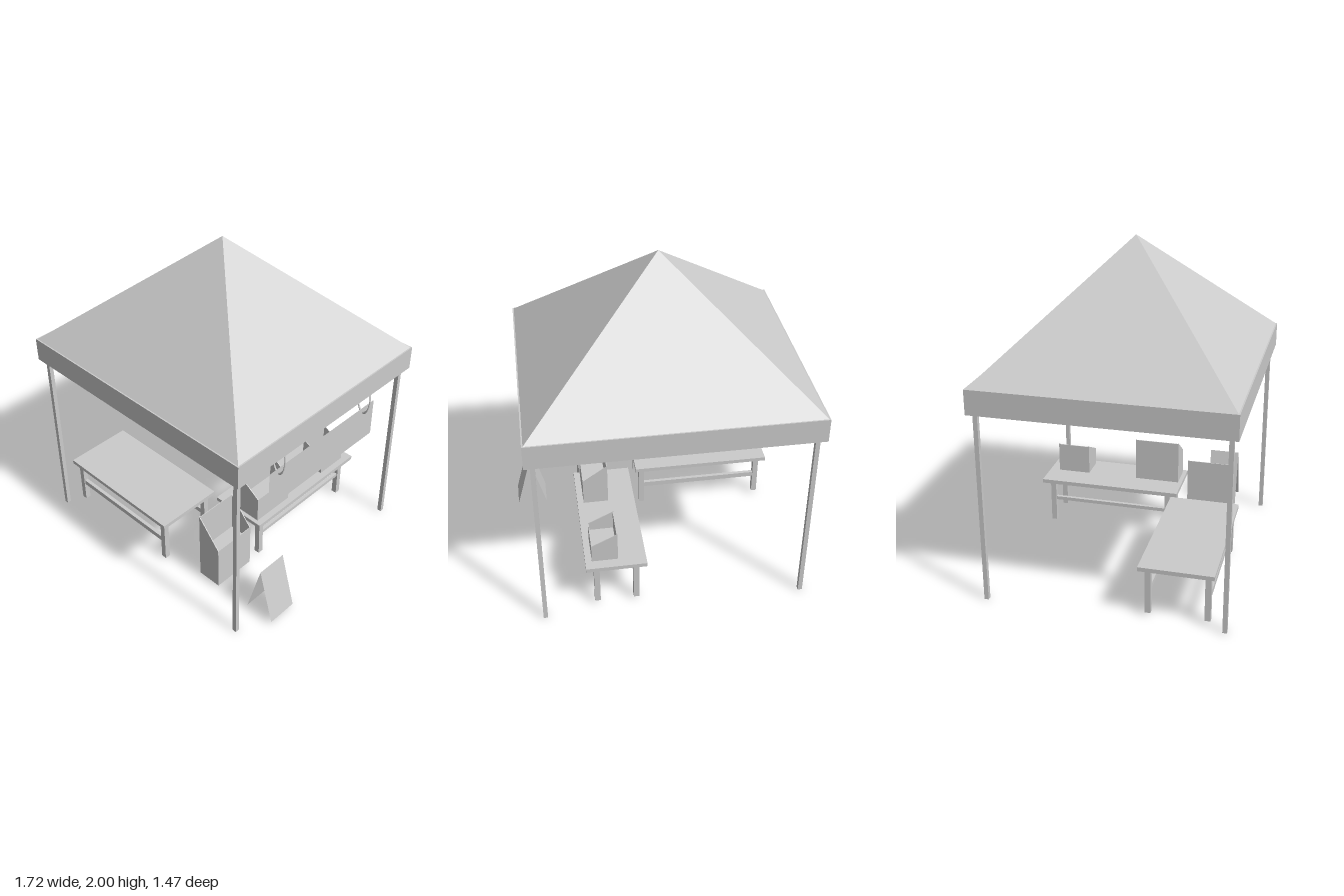
import * as THREE from 'three';

const mat = new THREE.MeshStandardMaterial({ color: 0xcccccc, flatShading: true, side: THREE.DoubleSide });

function add(parent, name, geometry, x = 0, y = 0, z = 0) {
  const mesh = new THREE.Mesh(geometry, mat);
  mesh.name = name;
  mesh.position.set(x, y, z);
  parent.add(mesh);
  return mesh;
}

// Box given by its lower and upper corners
function box(parent, name, [x0, y0, z0], [x1, y1, z1]) {
  return add(parent, name, new THREE.BoxGeometry(x1 - x0, y1 - y0, z1 - z0),
    (x0 + x1) / 2, (y0 + y1) / 2, (z0 + z1) / 2);
}

function group(parent, name) {
  const g = new THREE.Group();
  g.name = name;
  parent.add(g);
  return g;
}

const CX = -0.037, HX = 0.823, HZ = 0.735;   // canopy centre and half sizes
const PX = 0.776, PZ = 0.694;                // post offsets from the canopy centre

function buildCanopy(root) {
  const canopy = group(root, 'canopy');

  // Pyramid roof
  const roof = new THREE.ConeGeometry(Math.SQRT2, 0.7, 4, 1, true);
  roof.rotateY(Math.PI / 4);
  roof.scale(HX - 0.008, 1, HZ - 0.008);
  add(canopy, 'roof', roof, CX, 1.65, 0);

  // Valance: a thin rectangular band
  const rect = (s, hx, hz) => s.moveTo(-hx, -hz).lineTo(hx, -hz).lineTo(hx, hz).lineTo(-hx, hz).closePath();
  const band = rect(new THREE.Shape(), HX, HZ);
  band.holes.push(rect(new THREE.Path(), HX - 0.01, HZ - 0.01));
  const valance = new THREE.ExtrudeGeometry(band, { depth: 0.145, bevelEnabled: false });
  valance.rotateX(-Math.PI / 2);
  add(canopy, 'valance', valance, CX, 1.155, 0);

  // Posts, perimeter beams, cross beams and centre mast
  const w = 0.013;
  for (const s of [-1, 1]) {
    for (const t of [-1, 1]) {
      const x = CX + s * PX, z = t * PZ;
      box(canopy, 'post', [x - w, 0, z - w], [x + w, 1.29, z + w]);
    }
    const bx = CX + s * PX, bz = s * PZ;
    box(canopy, 'sideBeam', [bx - w, 1.16, -PZ], [bx + w, 1.186, PZ]);
    box(canopy, 'endBeam', [CX - PX, 1.16, bz - w], [CX + PX, 1.186, bz + w]);
  }
  box(canopy, 'crossBeam', [CX - PX, 1.16, -w], [CX + PX, 1.186, w]);
  box(canopy, 'crossBeam', [CX - w, 1.16, -PZ], [CX + w, 1.186, PZ]);
  box(canopy, 'mast', [CX - w, 1.16, -w], [CX + w, 1.97, w]);
}

// Table with four legs and a rail along each long side
function buildTable(root, name, [x0, x1], [z0, z1], legX, legZ, [r0, r1], alongX) {
  const table = group(root, name);
  const h = 0.017;
  box(table, 'tableTop', [x0, 0.3, z0], [x1, 0.325, z1]);
  for (const x of legX) for (const z of legZ) {
    box(table, 'leg', [x - h, 0.018, z - h], [x + h, 0.3, z + h]);
  }
  const t = 0.011;
  if (alongX) for (const z of legZ) box(table, 'rail', [legX[0], r0, z - t], [legX[1], r1, z + t]);
  else for (const x of legX) box(table, 'rail', [x - t, r0, legZ[0]], [x + t, r1, legZ[1]]);
}

// Open display bin with a sloping rim: high at the back, low at the front
function buildBin(root, name, [z0, z1], base, frontY, backY, floorY) {
  const bin = group(root, name);
  const x0 = 0.29, x1 = 0.445, t = 0.005;
  const side = new THREE.Shape([
    new THREE.Vector2(x0, base), new THREE.Vector2(x1, base),
    new THREE.Vector2(x1, frontY), new THREE.Vector2(x0, backY),
  ]);
  const sideGeo = new THREE.ExtrudeGeometry(side, { depth: t, bevelEnabled: false });
  add(bin, 'binSide', sideGeo, 0, 0, z0);
  add(bin, 'binSide', sideGeo, 0, 0, z1 - t);
  box(bin, 'binBack', [x0, base, z0 + t], [x0 + t, backY - 0.004, z1 - t]);
  box(bin, 'binFront', [x1 - t, base, z0 + t], [x1, frontY, z1 - t]);
  box(bin, 'binBottom', [x0 + t, base, z0 + t], [x1 - t, base + t, z1 - t]);
  box(bin, 'binFloor', [x0 + t, floorY - t, z0 + t], [x1 - t, floorY, z1 - t]);
}

// Hanging panel on two oval rings
function buildHangingSign(root) {
  const sign = group(root, 'hangingSign');
  const x = 0.728;
  const panel = new THREE.PlaneGeometry(0.915, 0.247);
  panel.rotateY(Math.PI / 2);
  add(sign, 'signPanel', panel, x, 0.898, -0.028);
  for (const z of [0.355, -0.385]) {
    const ring = new THREE.TorusGeometry(1, 0.08, 6, 24);
    ring.scale(0.042, 0.106, 0.07);
    add(sign, 'hangingRing', ring, x, 1.09, z);
  }
}

// Folding floor board: two leaning sheets
function buildFloorBoard(root) {
  const board = group(root, 'floorBoard');
  const half = 0.094, rise = 0.347;
  for (const s of [-1, 1]) {
    const sheet = new THREE.PlaneGeometry(0.19, Math.hypot(half, rise));
    sheet.rotateY(Math.PI / 2);
    sheet.rotateZ(s * Math.atan2(half, rise));
    add(board, 'boardSheet', sheet, 0.766 + s * half / 2, 0.018 + rise / 2, 0.427);
  }
}

export function createModel() {
  const model = new THREE.Group();
  model.name = 'marketStall';
  buildCanopy(model);
  buildTable(model, 'frontTable', [-0.798, 0.076], [0.195, 0.626],
    [-0.745, 0.034], [0.246, 0.587], [0.142, 0.175], true);
  buildTable(model, 'sideTable', [0.124, 0.484], [-0.672, 0.222],
    [0.185, 0.42], [-0.615, 0.152], [0.163, 0.185], false);
  buildBin(model, 'floorBin', [0.26, 0.537], 0.018, 0.31, 0.49, 0.22);
  buildBin(model, 'largeTableBin', [-0.085, 0.197], 0.325, 0.492, 0.6, 0.42);
  buildBin(model, 'smallTableBin', [-0.61, -0.404], 0.325, 0.438, 0.515, 0.39);
  buildHangingSign(model);
  buildFloorBoard(model);
  return model;
}
